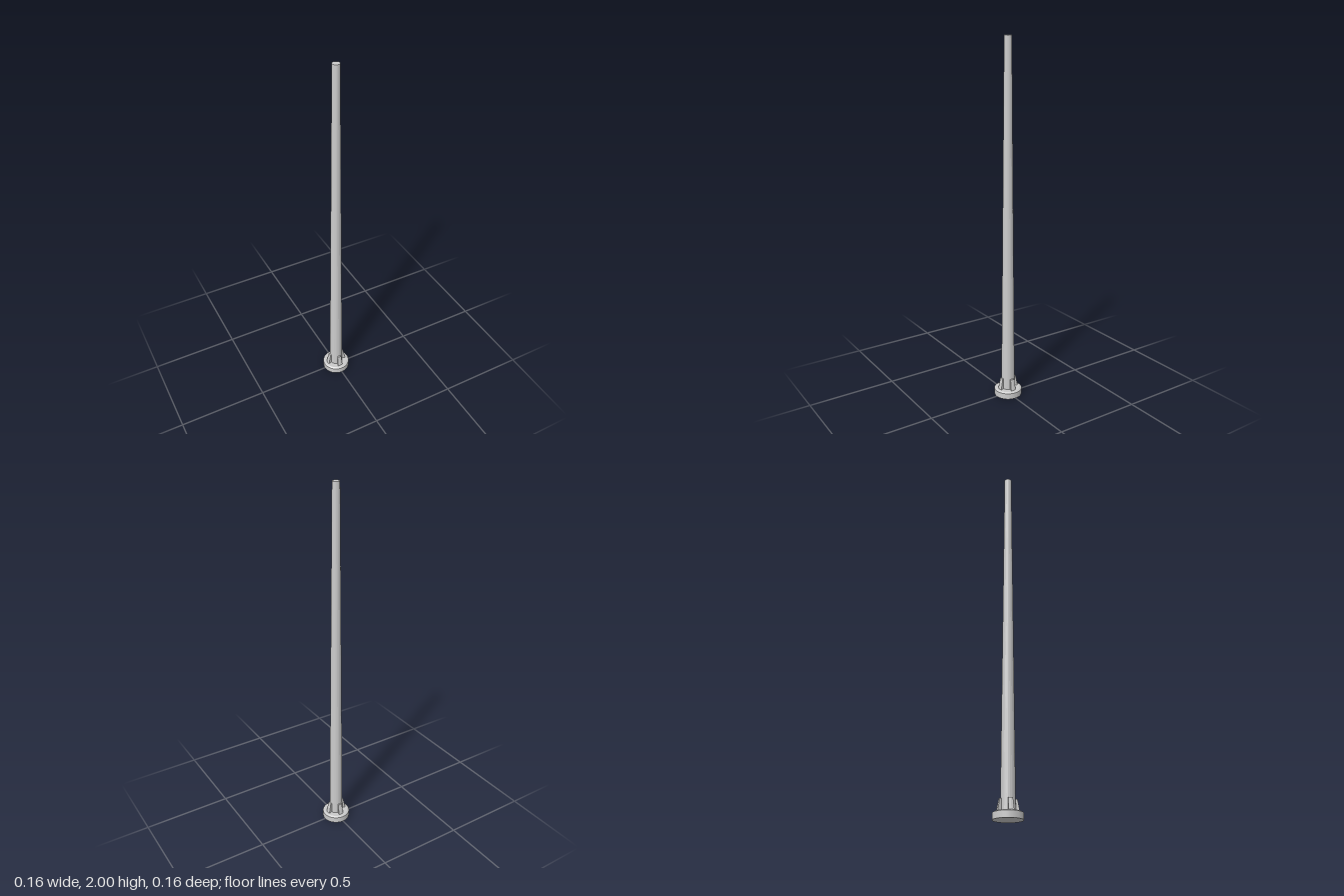
import * as THREE from 'three';

const MAST_BOTTOM = 0.038, MAST_TOP = 0.02, BASE_TOP = 0.04, HEIGHT = 2;

// Wedge fin: a box bent round the mast axis, leaning in towards its top
function finGeometry() {
  const geo = new THREE.BoxGeometry(1, 1, 1, 2, 1, 1);
  const pos = geo.attributes.position;
  for (let i = 0; i < pos.count; i++) {
    const angle = pos.getX(i) * Math.PI / 6;
    const upper = pos.getY(i) > 0;
    const radius = pos.getZ(i) < 0 ? 0.033 : upper ? 0.046 : 0.059;
    pos.setXYZ(i, Math.sin(angle) * radius, upper ? 0.102 : BASE_TOP - 0.002, Math.cos(angle) * radius);
  }
  geo.computeVertexNormals();
  return geo;
}

export function createModel() {
  const group = new THREE.Group();
  const material = new THREE.MeshStandardMaterial({ color: 0xcccccc, flatShading: true });
  const add = (name, geometry) => {
    const mesh = new THREE.Mesh(geometry, material);
    mesh.name = name;
    group.add(mesh);
    return mesh;
  };

  // Round foot with a bevelled upper rim
  const profile = [[0, 0], [0.078, 0], [0.078, 0.034], [0.068, BASE_TOP], [0, BASE_TOP]];
  add('base', new THREE.LatheGeometry(profile.map(([r, y]) => new THREE.Vector2(r, y)), 48));

  // Tapered mast
  const mastHeight = HEIGHT - BASE_TOP;
  add('mast', new THREE.CylinderGeometry(MAST_TOP, MAST_BOTTOM, mastHeight, 24))
    .position.y = BASE_TOP + mastHeight / 2;

  // Four supporting fins
  const fin = finGeometry();
  for (let i = 0; i < 4; i++) add('fin', fin).rotation.y = i * Math.PI / 2;

  return group;
}
